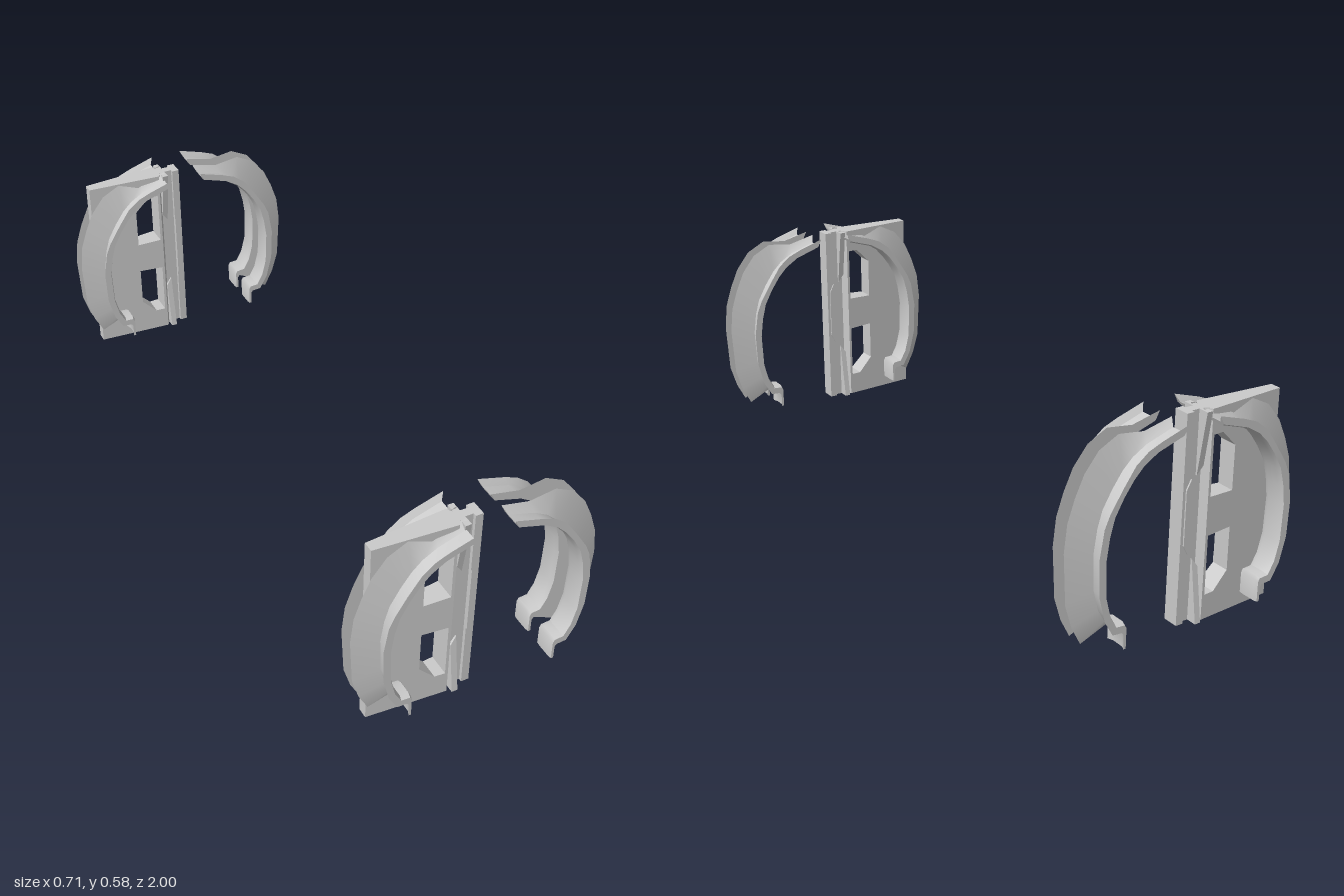
import * as THREE from 'three';
import { toCreasedNormals } from 'three/addons/utils/BufferGeometryUtils.js';

const grey = new THREE.MeshStandardMaterial({ color: 0xcccccc, side: THREE.DoubleSide });
const BOTTOM = 0.013, TOP = 0.587, MID = (BOTTOM + TOP) / 2;
const vec = (pts) => pts.map(([x, y]) => new THREE.Vector2(x, y));

function addMesh(parent, name, geometry) {
  const mesh = new THREE.Mesh(geometry, grey);
  mesh.name = name;
  parent.add(mesh);
  return mesh;
}

// Outline in x, y, with its thickness in z given by a rule
function slab(points, half, holes = []) {
  const shape = new THREE.Shape(vec(points));
  for (const h of holes) shape.holes.push(new THREE.Path(vec(h)));
  const geo = new THREE.ExtrudeGeometry(shape, { depth: 1, bevelEnabled: false });
  const p = geo.attributes.position;
  for (let i = 0; i < p.count; i++) p.setZ(i, (p.getZ(i) * 2 - 1) * half(p.getX(i), p.getY(i)));
  geo.computeVertexNormals();
  return geo;
}

// Stations along the arch: inner edge, outer lip and flare edge (x, y each)
const stations = [
  [0.063, 0.562, 0.048, 0.592, 0.048, 0.592],
  [0.140, 0.537, 0.125, 0.568, 0.130, 0.573],
  [0.180, 0.510, 0.165, 0.552, 0.205, 0.583],
  [0.205, 0.482, 0.200, 0.525, 0.260, 0.555],
  [0.230, 0.447, 0.235, 0.475, 0.300, 0.505],
  [0.252, 0.405, 0.270, 0.420, 0.325, 0.450],
  [0.264, 0.355, 0.285, 0.385, 0.345, 0.390],
  [0.271, 0.300, 0.297, 0.310, 0.353, 0.315],
  [0.267, 0.200, 0.293, 0.210, 0.345, 0.175],
  [0.254, 0.150, 0.275, 0.140, 0.325, 0.110],
  [0.237, 0.120, 0.250, 0.097, 0.298, 0.058],
  [0.212, 0.118, 0.222, 0.095, 0.222, 0.095],
  [0.207, 0.108, 0.216, 0.088, 0.216, 0.088],
  [0.207, 0.048, 0.216, 0.048, 0.216, 0.048],
];
// Cross-section: share of the way from inner edge to lip (or flare), depth from the outer face
const section = [
  [0.2, 0], [1, 0], [0.35, 0.012], [0.35, 0.045], ['flare', 0.063], [0.2, 0.063], [0, 0.05], [0, 0.012],
];
const capFaces = [[0, 1, 2], [0, 2, 7], [2, 3, 7], [3, 6, 7], [3, 5, 6], [3, 4, 5]];

function archGeometry(sx, sz) {
  const pos = [], idx = [], n = section.length;
  const face = (a, b, c) => (sx * sz > 0 ? idx.push(a, b, c) : idx.push(a, c, b));
  for (const [px, py, qx, qy, fx, fy] of stations) {
    for (const [t, depth] of section) {
      const x = t === 'flare' ? fx : px + (qx - px) * t;
      const y = t === 'flare' ? fy : py + (qy - py) * t;
      pos.push(x * sx, y, (0.085 - depth) * sz);
    }
  }
  for (let i = 0; i < stations.length - 1; i++) {
    for (let k = 0; k < n; k++) {
      const a = i * n + k, b = i * n + (k + 1) % n;
      face(a, a + n, b);
      face(b, a + n, b + n);
    }
  }
  const end = (stations.length - 1) * n;
  for (const [a, b, c] of capFaces) {
    face(a, b, c);
    face(end + a, end + c, end + b);
  }
  const geo = new THREE.BufferGeometry();
  geo.setAttribute('position', new THREE.Float32BufferAttribute(pos, 3));
  geo.setIndex(idx);
  return toCreasedNormals(geo, 0.6);
}

function doorGroup() {
  const door = new THREE.Group();
  door.name = 'door';
  const flipY = (pts) => pts.map(([x, y]) => [x, 2 * MID - y]).reverse();

  // Wedge panel with two chamfered windows
  const upper = [[-0.155, 0.35], [-0.155, 0.472], [-0.11, 0.518], [-0.08, 0.518], [-0.08, 0.353]];
  addMesh(door, 'panel', slab(
    [[-0.3, BOTTOM], [-0.072, BOTTOM], [-0.072, TOP], [-0.3, TOP]],
    (x) => 0.015 + (x + 0.3) / 0.228 * 0.017,
    [upper, flipY(upper)],
  ));

  // Post: shoulder, narrow neck and end flange, constant along y
  const edge = [[-0.072, 0.032], [-0.06, 0.012], [-0.022, 0.012], [-0.022, 0.022], [0, 0.022]];
  const outline = [...edge, ...edge.map(([x, z]) => [x, -z]).reverse()];
  const post = new THREE.ExtrudeGeometry(new THREE.Shape(vec(outline)), { depth: TOP - BOTTOM, bevelEnabled: false });
  post.rotateX(-Math.PI / 2).translate(0, BOTTOM, 0);
  addMesh(door, 'post', post);

  // Tapered fins at both ends of the neck, widening towards the ends
  const fin = [[-0.062, BOTTOM], [-0.045, BOTTOM], [-0.045, 0.187], [-0.062, 0.163]];
  const spread = (x, y) => 0.016 + 0.026 * Math.max(0, Math.abs(y - MID) - 0.113) / 0.174;
  addMesh(door, 'lowerFin', slab(fin, spread));
  addMesh(door, 'upperFin', slab(flipY(fin), spread));

  // Raised strip at the middle of the flange
  addMesh(door, 'flangeStrip', slab(
    [[-0.022, 0.208], [-0.008, 0.235], [-0.008, 0.385], [-0.022, 0.412]], () => 0.026));
  return door;
}

export function createModel() {
  const model = new THREE.Group();
  model.name = 'doorAndArchSets';
  for (const [label, z] of [['front', 0.915], ['back', -0.915]]) {
    const set = new THREE.Group();
    set.name = label + 'Set';
    set.position.z = z;
    set.add(doorGroup());
    for (const sx of [1, -1]) {
      for (const sz of [1, -1]) {
        const name = (sx > 0 ? 'left' : 'right') + (sz > 0 ? 'Front' : 'Back') + 'Arch';
        addMesh(set, name, archGeometry(sx, sz));
      }
    }
    model.add(set);
  }
  return model;
}
